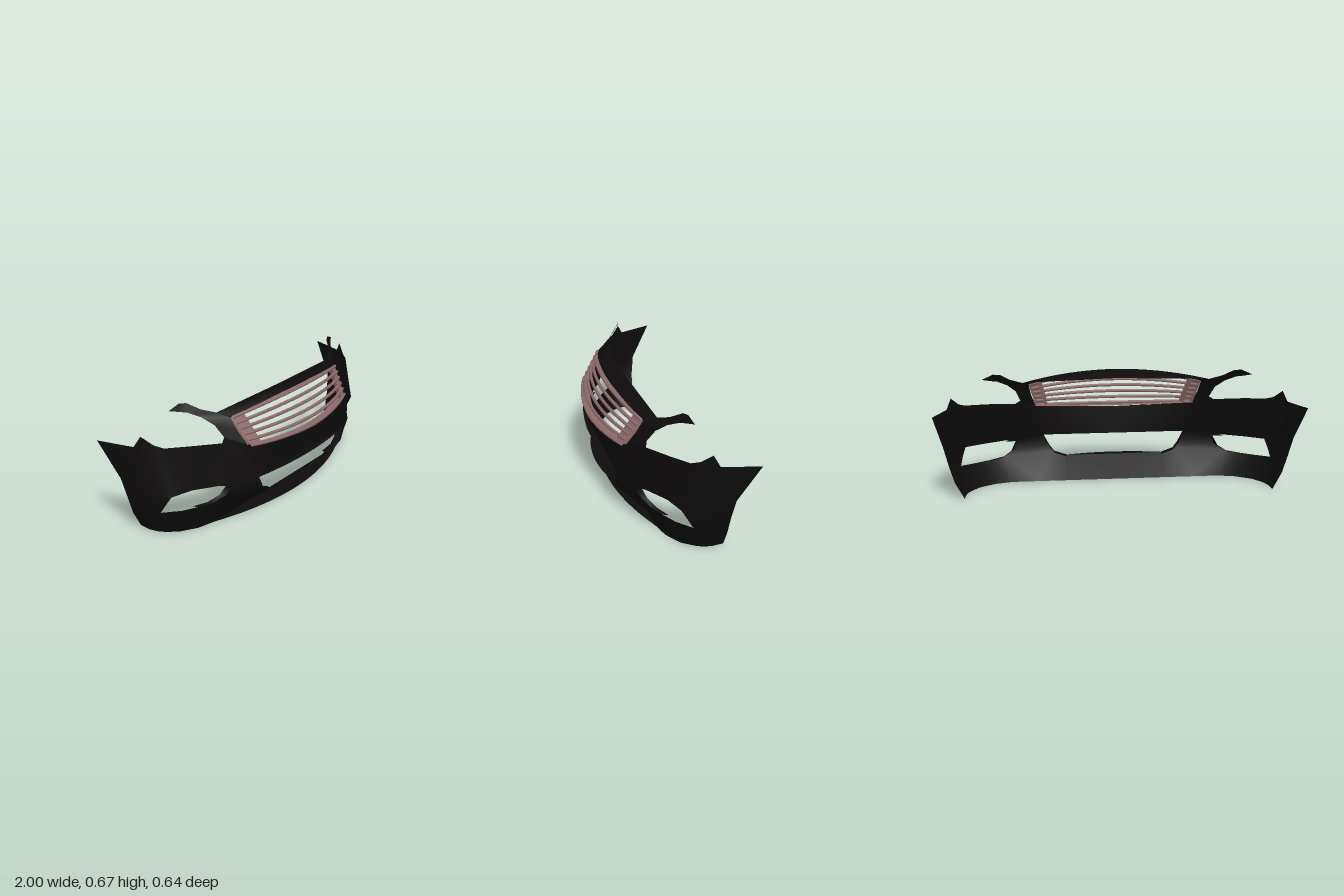
import * as THREE from 'three';

const paint = new THREE.MeshStandardMaterial({ color: 0x0d0b0b, side: THREE.DoubleSide });
const trim = new THREE.MeshStandardMaterial({ color: 0x8c6a6a, side: THREE.DoubleSide });

// Skin stretched between rails (lists of [x,y,z], lowest first); skip(row, column) leaves openings.
function loft(name, rails, material = paint, skip = () => false) {
  const n = rails[0].length, index = [];
  for (let r = 0; r < rails.length - 1; r++) {
    for (let c = 0; c < n - 1; c++) {
      if (skip(r, c)) continue;
      const a = r * n + c, b = a + n;
      index.push(a, a + 1, b + 1, a, b + 1, b);
    }
  }
  const geometry = new THREE.BufferGeometry();
  geometry.setAttribute('position', new THREE.Float32BufferAttribute(rails.flat(2), 3));
  geometry.setIndex(index);
  geometry.computeVertexNormals();
  const mesh = new THREE.Mesh(geometry, material);
  mesh.name = name;
  return mesh;
}

// Point on a bowed line: s = 0 at the centre plane, s = 1 at the outer end.
const bow = (mid, end, s) => [end[0] * s, mid[1] + (end[1] - mid[1]) * s * s, mid[2] + (end[2] - mid[2]) * s * s];
const arc = (mid, end, n = 10) => Array.from({ length: n + 1 }, (_, i) => bow(mid, end, i / n));
const chord = (mid, end, n = 10) => Array.from({ length: n + 1 }, (_, i) => mid.map((v, k) => v + (end[k] - v) * i / n));
const shift = (points, dx, dy, dz) => points.map(([x, y, z]) => [x + dx, y + dy, z + dz]);

function buildHalf() {
  const half = new THREE.Group();

  // Main skin rails, each running from the centre plane round to the wheel arch
  const sill = [[0, 0, .09], [.28, 0, .09], [.45, 0, .09], [.6, 0, .09], [.7, 0, .065], [.79, 0, .01],
    [.835, 0, -.05], [.85, 0, -.08], [.855, 0, -.1], [.86, 0, -.13], [.86, .005, -.19]];
  const lower = [[0, .11, .232], [.28, .112, .232], [.355, .135, .245], [.645, .145, .13], [.72, .139, .09], [.8, .137, .045],
    [.885, .142, -.02], [.897, .135, -.05], [.902, .13, -.08], [.905, .12, -.11], [.91, .1, -.19]];
  const middle = [[0, .17, .25], [.28, .17, .25], [.385, .175, .25], [.59, .175, .165], [.66, .19, .12], [.78, .19, .06],
    [.875, .19, .008], [.9, .19, -.035], [.91, .19, -.07], [.925, .19, -.11], [.938, .2, -.195]];
  const upper = [[0, .235, .25], [.28, .235, .25], [.415, .235, .25], [.565, .225, .19], [.62, .237, .15], [.75, .241, .075],
    [.86, .235, .035], [.89, .25, -.02], [.915, .25, -.07], [.935, .27, -.11], [.962, .31, -.21]];
  const shoulder = [[0, .395, .264], [.28, .405, .25], [.46, .425, .21], [.545, .475, .125], [.575, .455, .135], [.73, .475, .06],
    [.85, .488, -.01], [.88, .505, -.05], [.918, .552, -.1], [.94, .497, -.13], [1, .505, -.32]];
  const opening = (r, c) => (r === 1 || r === 2) && (c < 2 || (c > 2 && c < 6));
  half.add(loft('bumperSkin', [sill, lower, middle, upper, shoulder], paint, opening));

  // Thin lips that bow forward along the chin and the central intake
  half.add(loft('chinLip', [chord([0, 0, .09], [.6, 0, .09]), arc([0, 0, .21], [.6, 0, .09])]));
  half.add(loft('intakeLowerLip', [chord([0, .11, .232], [.29, .112, .232]), arc([0, .11, .275], [.29, .112, .232])]));
  half.add(loft('intakeUpperLip', [chord([0, .235, .25], [.415, .235, .25]), arc([0, .233, .285], [.415, .235, .25])]));

  // Return walls inside the openings
  const intakeSide = [lower[1], lower[2], middle[2], upper[2]];
  half.add(loft('intakeReturn', [intakeSide, shift(intakeSide, 0, 0, -.04)]));
  const fogSide = [lower[4], lower[3], middle[3], upper[3], upper[4]];
  half.add(loft('fogLampReturn', [fogSide, shift(fogSide, .015, 0, -.03)]));

  // Pillar beside the grille, sweeping up into the wing over the headlamp
  const pillarInner = [[.46, .425, .21], [.485, .5, .165], [.497, .568, .13], [.53, .592, .065],
    [.6, .622, .02], [.65, .66, -.03], [.69, .667, -.045]];
  const pillarOuter = [[.545, .475, .125], [.57, .54, .085], [.615, .587, .037], [.64, .602, .015],
    [.67, .62, -.01], [.705, .629, -.035], [.75, .642, -.06]];
  half.add(loft('headlampWing', [pillarOuter, pillarInner]));

  // Hood edge above the grille with its flat rear ledge
  half.add(loft('hoodEdge', [
    arc([0, .61, .205], [.497, .568, .13]),
    arc([0, .638, .175], [.53, .592, .065]),
    chord([0, .603, .09], [.53, .592, .065]),
  ]));

  // Grille frame: end panel, floor and roof
  const mid = t => [0, .406 + .202 * t, .308 - .09 * t];
  const end = t => [.45 + .04 * t, .425 + .143 * t, .23 - .095 * t];
  const levels = [0, .2, .4, .6, .8, 1];
  const reach = [.86, .93, 1];
  half.add(loft('grilleEndPanel', levels.map(t => [
    ...reach.map(s => bow(mid(t), end(t), s)),
    [.46 + .037 * t, .425 + .143 * t, .19 - .06 * t],
  ]), trim));
  half.add(loft('grilleEndInner', levels.map(t => {
    const p = bow(mid(t), end(t), .86);
    return [[p[0] + .02, p[1], p[2] - .04], p];
  }), trim));
  half.add(loft('grilleFloor', [arc([0, .4, .262], [.46, .425, .19]), arc([0, .4, .315], end(0))], trim));
  half.add(loft('grilleRoof', [arc(mid(1), end(1)), arc([0, .614, .2], [.497, .57, .13])], trim));

  return half;
}

export function createModel() {
  const model = new THREE.Group();
  model.name = 'frontBumper';
  const left = buildHalf();
  left.name = 'leftHalf';
  const right = left.clone();
  right.name = 'rightHalf';
  right.scale.x = -1;
  model.add(left, right);

  // Bowed grille bars, the first and last forming the frame edges
  const grille = new THREE.Group();
  grille.name = 'grilleBars';
  for (let i = 0; i < 6; i++) {
    const t = i / 5, ex = .45 + .04 * t, ey = .425 + .143 * t, ez = .23 - .095 * t;
    const cy = .408 + .198 * t, cz = .308 - .09 * t;
    const curve = new THREE.QuadraticBezierCurve3(
      new THREE.Vector3(-ex, ey, ez),
      new THREE.Vector3(0, 2 * cy - ey, 2 * cz - ez),
      new THREE.Vector3(ex, ey, ez));
    const bar = new THREE.Mesh(new THREE.TubeGeometry(curve, 24, .009, 8), trim);
    bar.name = 'grilleBar';
    grille.add(bar);
  }
  model.add(grille);
  return model;
}
